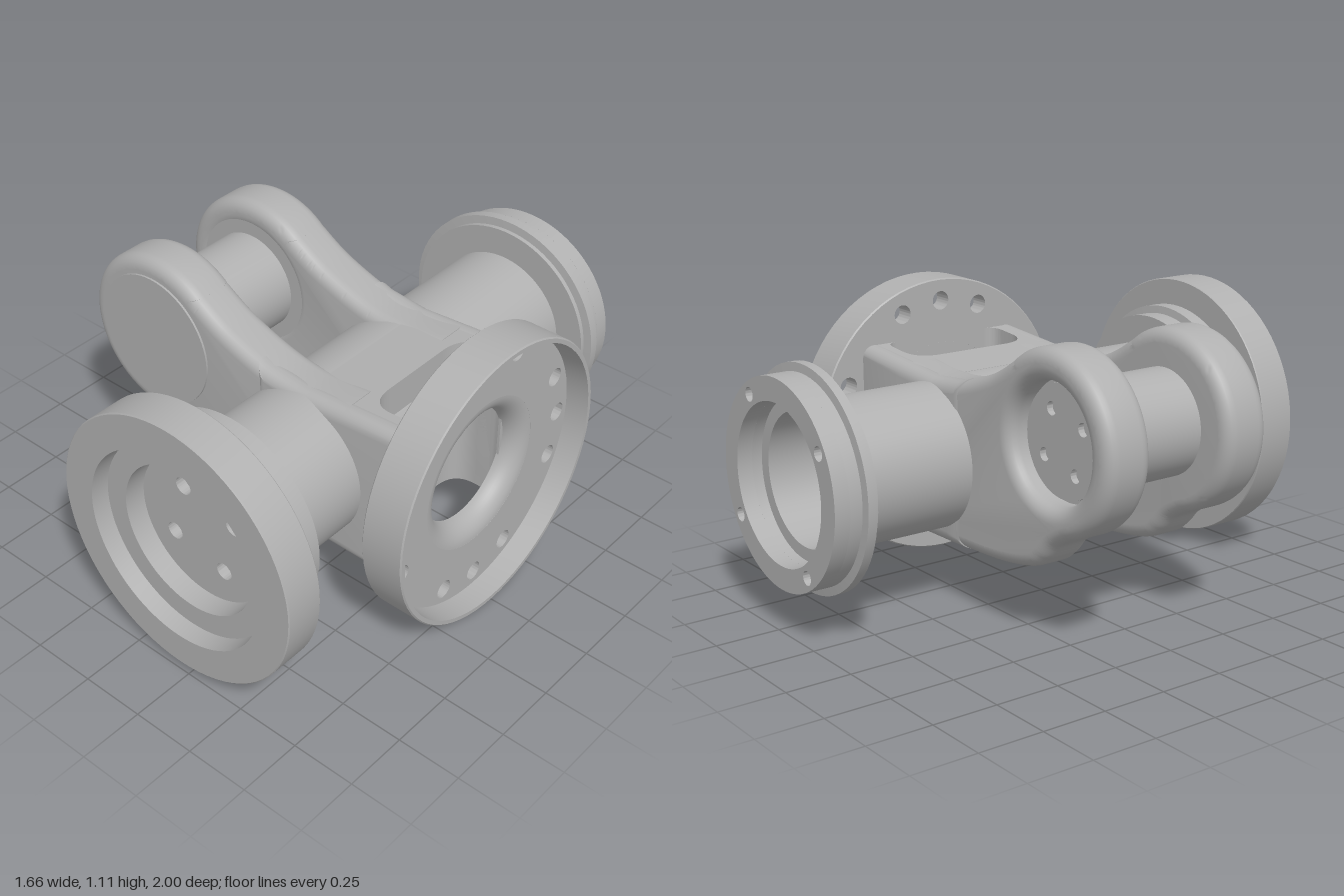
import * as THREE from 'three';
import { toCreasedNormals } from 'three/addons/utils/BufferGeometryUtils.js';

const AXIS_X = 0.21, AXIS_Y = 0.56;   // main barrel axis
const PIN_X = -0.5, PIN_Y = 0.755;    // clevis pin axis
const HOLE_START = 2.13;              // angle of the first bolt hole

export function createModel() {
  const model = new THREE.Group();
  model.name = 'yokeJoint';
  const metal = new THREE.MeshStandardMaterial({ color: 0xb0b0b0 });
  metal.name = 'greyMetal';

  const add = (name, geo, x = 0, y = 0, z = 0) => {
    const mesh = new THREE.Mesh(toCreasedNormals(geo, 0.55), metal);
    mesh.name = name;
    mesh.position.set(x, y, z);
    model.add(mesh);
    return mesh;
  };
  const vecs = (pts) => pts.map(([x, y]) => new THREE.Vector2(x, y));
  const lathe = (pts) => new THREE.LatheGeometry(vecs(pts), 72);
  const circle = (x, y, r) => new THREE.Path().absarc(x, y, r, 0, Math.PI * 2, true);
  const boltHoles = (radius, size, angles) =>
    angles.map((a) => circle(radius * Math.cos(a), radius * Math.sin(a), size));
  const fourAngles = [0, 1, 2, 3].map((i) => HOLE_START + i * Math.PI / 2);

  // Flat disc facing +z with holes, front face at z = 0
  const plate = (r, holes, depth) => {
    const s = new THREE.Shape().absarc(0, 0, r, 0, Math.PI * 2, false);
    s.holes.push(...holes);
    return new THREE.ExtrudeGeometry(s, { depth, bevelEnabled: false, curveSegments: 48 })
      .translate(0, 0, -depth);
  };
  // Round-edged slab between two z values
  const slab = (shape, z0, z1, b) => new THREE.ExtrudeGeometry(shape, {
    depth: z1 - z0 - 2 * b, bevelThickness: b, bevelSize: b, bevelOffset: -b,
    bevelSegments: 6, curveSegments: 32,
  }).translate(0, 0, z0 + b);

  // Clevis ears: round end flowing into the body
  const earShape = () => {
    const s = new THREE.Shape();
    s.absarc(PIN_X, PIN_Y, 0.335, 0.87, 4.45, false);
    s.splineThru(vecs([[-0.52, 0.39], [-0.465, 0.33], [-0.39, 0.284], [-0.2, 0.25], [0.1, 0.237], [0.4, 0.232]]));
    s.lineTo(0.4, 0.87);
    s.splineThru(vecs([[0.21, 0.855], [0.05, 0.87], [-0.15, 0.935], [-0.284, 1.011]]));
    return s;
  };
  add('frontEar', slab(earShape(), 0.165, 0.36, 0.05));
  const rearShape = earShape();
  rearShape.holes.push(circle(PIN_X, PIN_Y, 0.22));
  add('rearEar', slab(rearShape, -0.36, -0.165, 0.05));

  // Side walls that reach the mounting flange
  for (const [name, z0] of [['leftWall', 0.26], ['rightWall', -0.365]]) {
    const s = new THREE.Shape(vecs([[0, 0.24], [0.1, 0.237], [0.4, 0.232], [0.71, 0.23],
      [0.71, 0.893], [0.4, 0.87], [0.21, 0.855], [0.05, 0.87], [0, 0.884]]));
    add(name, slab(s, z0, z0 + 0.105, 0.05));
  }

  // Body core with an upright slot behind the flange
  const core = new THREE.Shape();
  core.moveTo(0.21, -0.31);
  core.lineTo(0.67, -0.31);
  core.lineTo(0.67, -0.21);
  core.lineTo(0.66, -0.21);
  core.quadraticCurveTo(0.66, -0.26, 0.6, -0.26);
  core.lineTo(0.54, -0.26);
  core.quadraticCurveTo(0.44, -0.26, 0.44, -0.15);
  core.lineTo(0.44, 0.15);
  core.quadraticCurveTo(0.44, 0.26, 0.54, 0.26);
  core.lineTo(0.6, 0.26);
  core.quadraticCurveTo(0.66, 0.26, 0.66, 0.21);
  core.lineTo(0.67, 0.21);
  core.lineTo(0.67, 0.31);
  core.lineTo(0.21, 0.31);
  const coreGeo = new THREE.ExtrudeGeometry(core, { depth: 0.617, bevelEnabled: false, curveSegments: 16 });
  coreGeo.rotateX(-Math.PI / 2).translate(0, 0.235, 0);
  const p = coreGeo.attributes.position;
  for (let i = 0; i < p.count; i++) {
    if (p.getY(i) > 0.5) p.setY(i, 0.852 + (p.getX(i) - 0.21) * 0.08);
  }
  add('bodyCore', coreGeo);
  add('bodyBarrel', new THREE.CylinderGeometry(0.291, 0.291, 0.6, 72).rotateX(Math.PI / 2), AXIS_X, AXIS_Y, 0);

  // Clevis pin with its front cap and recessed rear end
  const rod = (r, z0, z1) =>
    new THREE.CylinderGeometry(r, r, z1 - z0, 64).rotateX(Math.PI / 2).translate(0, 0, (z0 + z1) / 2);
  add('pin', rod(0.198, -0.2, 0.2), PIN_X, PIN_Y);
  add('pinFrontCap', rod(0.266, 0.3, 0.368), PIN_X, PIN_Y);
  add('pinRearSeat', rod(0.265, -0.26, -0.168), PIN_X, PIN_Y);
  const pinEnd = plate(0.205, boltHoles(0.125, 0.025, fourAngles), 0.03).rotateY(Math.PI);
  add('pinRearEnd', pinEnd, PIN_X, PIN_Y, -0.285);

  // Front barrel with wide flange and stepped recess
  add('frontBarrel', lathe([[0.285, 0.3], [0.285, 0.7], [0.39, 0.7], [0.39, 0.775], [0.42, 0.78],
    [0.42, 0.838], [0.39, 0.842], [0.39, 0.848], [0.52, 0.848], [0.523, 0.852], [0.523, 0.996], [0.519, 1],
    [0.39, 1], [0.385, 0.93], [0.295, 0.93], [0.295, 0.8], [0, 0.8]]).rotateX(Math.PI / 2), AXIS_X, AXIS_Y);
  add('frontCover', plate(0.29, boltHoles(0.167, 0.034, fourAngles), 0.04), AXIS_X, AXIS_Y, 0.85);

  // Rear barrel with open bore
  add('rearBarrel', lathe([[0.276, 0.3], [0.276, 0.83], [0.39, 0.83], [0.39, 0.848], [0.422, 0.852],
    [0.422, 0.888], [0.39, 0.892], [0.39, 0.94], [0.3, 0.94], [0.3, 0.9], [0.25, 0.9], [0.25, 0.42], [0, 0.42]])
    .rotateX(-Math.PI / 2), AXIS_X, AXIS_Y);
  add('rearFlange', plate(0.39, [circle(0, 0, 0.3), ...boltHoles(0.345, 0.027, fourAngles)], 0.06)
    .rotateY(Math.PI), AXIS_X, AXIS_Y, -1);

  // Dished mounting flange: rim, drilled plate and flared centre bore
  add('flangeRim', lathe([[0.525, 0.66], [0.551, 0.66], [0.556, 0.665], [0.556, 0.825], [0.551, 0.83],
    [0.535, 0.83], [0.528, 0.74], [0.525, 0.74]]).rotateZ(-Math.PI / 2), 0, AXIS_Y);
  const angles = [0, 1, 3, 4, 5, 7, 8, 9, 11, 12, 13, 15].map((i) => i * Math.PI / 8);
  add('flangePlate', plate(0.53, [circle(0, 0, 0.3), ...boltHoles(0.468, 0.037, angles)], 0.08)
    .rotateY(Math.PI / 2), 0.74, AXIS_Y);
  const flare = [[0.225, 0.66], [0.3, 0.66]];
  for (let i = 0; i <= 10; i++) {
    const a = Math.PI / 2 * (1 - i / 10);
    flare.push([0.305 - 0.08 * Math.cos(a), 0.66 + 0.08 * Math.sin(a)]);
  }
  add('flangeBore', lathe(flare).rotateZ(-Math.PI / 2), 0, AXIS_Y);

  return model;
}
